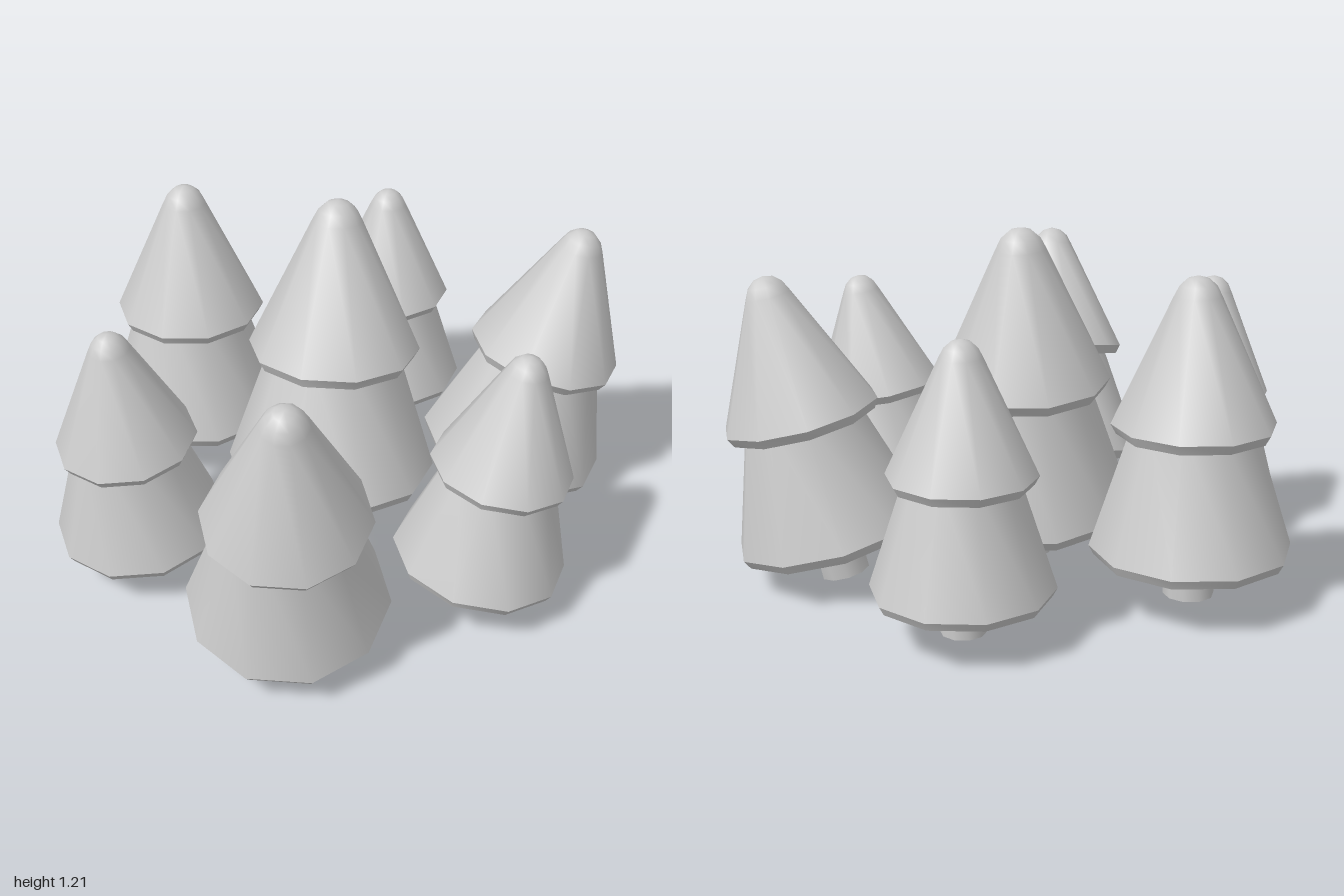
import * as THREE from 'three';
import { toCreasedNormals } from 'three/addons/utils/BufferGeometryUtils.js';

const SIDES = 10;
const HEIGHT = 1.07; // trunk foot to tip at scale 1

const material = new THREE.MeshStandardMaterial({ color: 0xcccccc });

// Turned shape from [radius, height] pairs: soft around the sides, sharp at the rims
function turned(profile) {
  const points = profile.map(([r, y]) => new THREE.Vector2(r, y));
  return toCreasedNormals(new THREE.LatheGeometry(points, SIDES), 0.73);
}

export function createModel() {
  const parts = {
    trunk: turned([[0, 0], [0.085, 0], [0.085, 0.16], [0, 0.16]]),
    lowerBranches: turned([[0, 0.14], [0.318, 0.14], [0.335, 0.172], [0.195, 0.6], [0, 0.6]]),
    upperBranches: turned([
      [0, 0.555], [0.252, 0.555], [0.27, 0.588],
      [0.077, 1.005], [0.06, 1.038], [0.034, 1.061], [0, HEIGHT],
    ]),
  };

  // Each tree leans from its foot towards its tip; yaw in degrees
  const trees = [
    { name: 'centreTree', foot: [-0.02, 0.025, 0.025], tip: [0.095, 1.215, -0.035], scale: 1.11, yaw: 0 },
    { name: 'backTree', foot: [-0.005, 0.03, -0.665], tip: [-0.01, 1.1, -0.665], scale: 1, yaw: 4 },
    { name: 'frontTree', foot: [-0.05, 0.015, 0.68], tip: [0.045, 0.955, 0.785], scale: 0.88, yaw: 0 },
    { name: 'frontRightTree', foot: [-0.595, 0.015, 0.33], tip: [-0.785, 1.065, 0.5], scale: 1, yaw: 0 },
    { name: 'frontLeftTree', foot: [0.535, 0.015, 0.4], tip: [0.69, 1.065, 0.58], scale: 1, yaw: -2 },
    { name: 'backRightTree', foot: [-0.63, 0.02, -0.305], tip: [-0.725, 0.955, -0.305], scale: 0.88, yaw: 6 },
    { name: 'backLeftTree', foot: [0.665, 0.02, -0.255], tip: [0.665, 0.96, -0.26], scale: 0.88, yaw: 0 },
  ];

  const model = new THREE.Group();
  model.name = 'treeGrove';
  const up = new THREE.Vector3(0, 1, 0);

  for (const { name, foot, tip, scale, yaw } of trees) {
    const tree = new THREE.Group();
    tree.name = name;
    for (const [part, geometry] of Object.entries(parts)) {
      const mesh = new THREE.Mesh(geometry, material);
      mesh.name = part;
      mesh.rotation.y = THREE.MathUtils.degToRad(yaw);
      tree.add(mesh);
    }
    const axis = new THREE.Vector3(...tip).sub(new THREE.Vector3(...foot)).normalize();
    tree.quaternion.setFromUnitVectors(up, axis);
    tree.position.set(...foot);
    tree.scale.setScalar(scale);
    model.add(tree);
  }
  return model;
}
